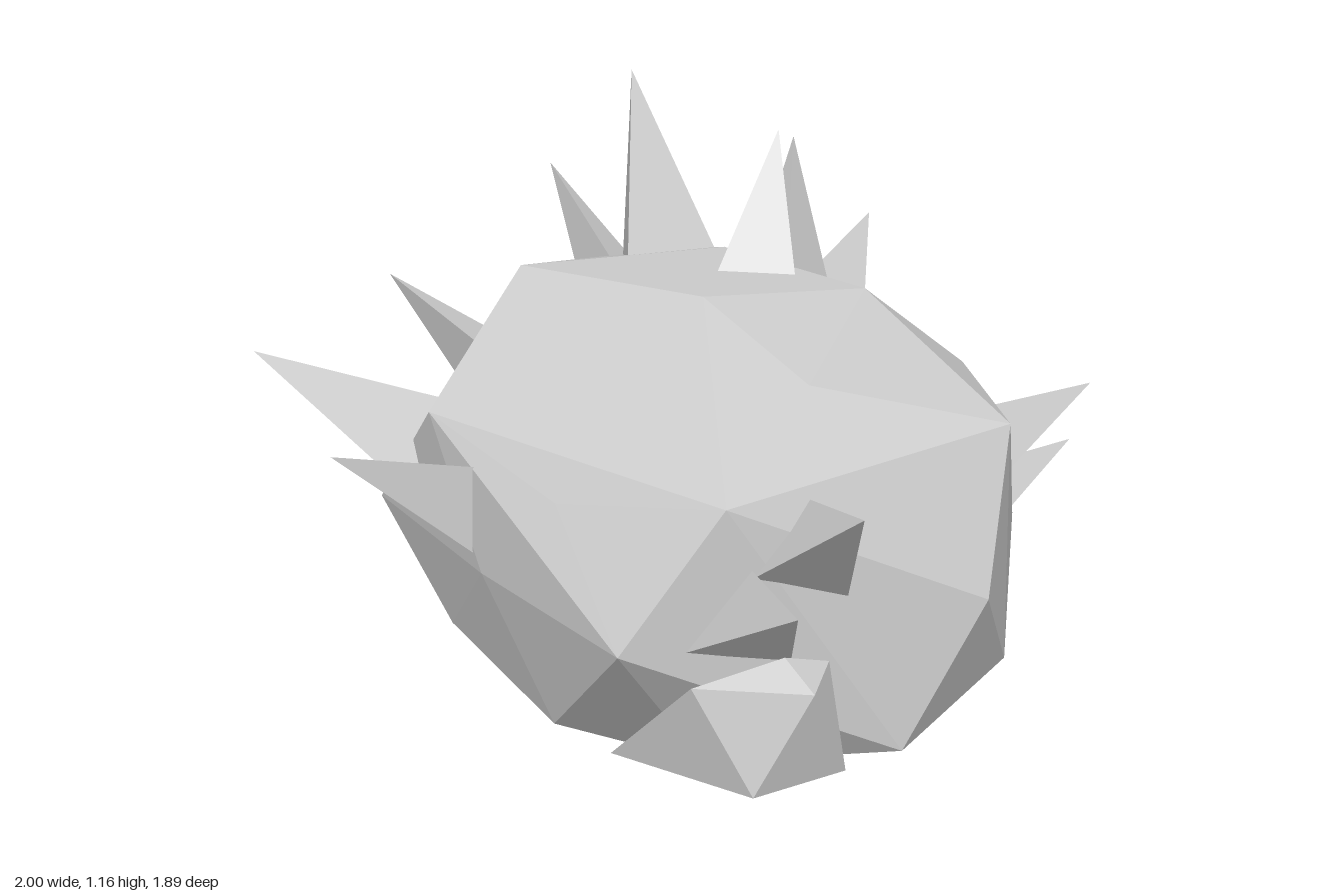
import * as THREE from 'three';
import { ConvexGeometry } from 'three/addons/geometries/ConvexGeometry.js';

const grey = new THREE.MeshStandardMaterial({ color: 0xcccccc, flatShading: true });

// Faceted solid wrapped around a few corner points
function hull(name, points) {
  const mesh = new THREE.Mesh(new ConvexGeometry(points.map(p => new THREE.Vector3(...p))), grey);
  mesh.name = name;
  return mesh;
}

// Three-sided spike from a base centre to a tip, sunk slightly into the body
function spike(name, base, tip, radius, turn) {
  const b = new THREE.Vector3(...base), t = new THREE.Vector3(...tip);
  const dir = t.clone().sub(b).normalize();
  b.addScaledVector(dir, -0.05);
  const length = t.distanceTo(b);
  const geometry = new THREE.ConeGeometry(radius, length, 3);
  geometry.rotateY(turn);
  geometry.translate(0, length / 2, 0);
  const mesh = new THREE.Mesh(geometry, grey);
  mesh.quaternion.setFromUnitVectors(new THREE.Vector3(0, 1, 0), dir);
  mesh.position.copy(b);
  mesh.name = name;
  return mesh;
}

export function createModel() {
  const group = new THREE.Group();
  group.name = 'spikyBoulder';

  // Rounded, faceted body: crown, shoulders, waist, lower ring, base
  group.add(hull('body', [
    [0, 0.88, 0.02], [-0.37, 0.88, 0.24], [0.39, 0.81, 0.02], [0.12, 0.85, -0.33], [-0.22, 0.86, -0.2],
    [0.6, 0.69, -0.37], [0.6, 0.69, 0.4], [0.19, 0.6, 0.56], [-0.22, 0.68, 0.6],
    [-0.7, 0.66, 0.02], [-0.63, 0.66, -0.37], [-0.22, 0.66, -0.54], [0.22, 0.66, -0.52],
    [0.75, 0.37, -0.2], [0.52, 0.37, 0.635], [0, 0.38, 0.62], [-0.46, 0.38, 0.55],
    [-0.7, 0.38, 0.21], [-0.77, 0.38, -0.2], [-0.53, 0.4, -0.6], [-0.03, 0.4, -0.6],
    [0.2, 0.38, -0.58], [0.43, 0.38, -0.5],
    [-0.68, 0.15, 0.05], [-0.2, 0.17, 0.55], [0.2, 0.08, 0.57], [0.73, 0.06, 0.02],
    [0.59, 0.13, -0.36], [0.2, 0.08, -0.57], [-0.4, 0.1, -0.5],
    [0, 0, 0], [-0.4, 0.03, 0], [-0.15, 0.01, 0.38], [0.45, 0.02, 0.35], [0.3, 0.02, -0.35], [0, 0.02, -0.35],
  ]));

  // Small angular lump low on one side
  group.add(hull('sideLump', [
    [0.38, 0.07, 0.55], [0.62, 0.3, 0.51], [0.79, 0.29, 0.3], [0.74, 0.06, 0.43],
    [0.74, 0.06, 0.18], [0.68, 0.3, 0.18], [0.68, 0.34, 0.3], [0.5, 0.03, 0.3],
  ]));

  // Spikes: name, base centre, tip, radius, turn about own axis
  const spikes = [
    ['rightSpikeBack', [-0.66, 0.61, -0.23], [-0.98, 0.76, -0.29], 0.1, 1.05],
    ['rightSpikeFront', [-0.67, 0.48, 0.08], [-1, 0.6, 0.13], 0.11, 1.05],
    ['backSpikeOuter', [-0.36, 0.51, -0.54], [-0.57, 0.64, -0.85], 0.13, 0.2],
    ['backSpikeLower', [0.04, 0.18, -0.53], [0.03, 0.29, -0.95], 0.14, 0],
    ['backSpikeUpper', [0.1, 0.36, -0.55], [0.12, 0.46, -0.94], 0.14, 0],
    ['leftSpikeUpper', [0.64, 0.55, 0.22], [1, 0.79, 0.32], 0.14, 0],
    ['leftSpikeLower', [0.63, 0.42, 0.37], [1, 0.6, 0.5], 0.14, 0],
    ['frontSpikeOuter', [-0.34, 0.55, 0.54], [-0.51, 0.79, 0.86], 0.14, 0.4],
    ['frontSpikeInner', [-0.09, 0.5, 0.56], [-0.12, 0.7, 0.94], 0.13, 0.45],
    ['topSpikeLarge', [-0.37, 0.83, -0.12], [-0.56, 1.16, -0.2], 0.14, 0.5],
    ['topSpikeBack', [-0.12, 0.85, -0.3], [-0.21, 1.08, -0.38], 0.1, 0.9],
    ['topSpikeFront', [-0.1, 0.85, -0.2], [-0.17, 1.13, -0.31], 0.11, -0.1],
  ];
  for (const s of spikes) group.add(spike(...s));

  return group;
}
